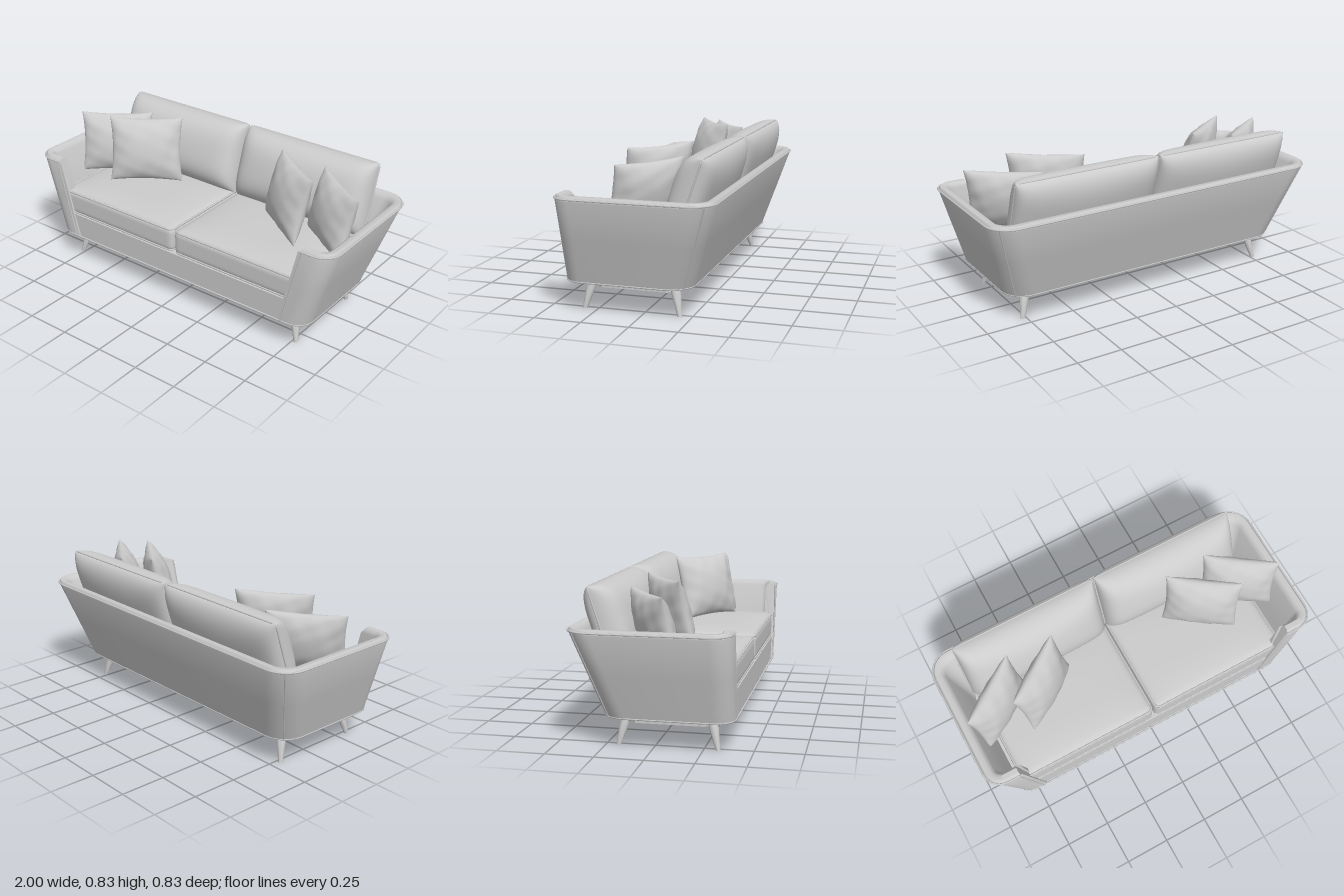
import * as THREE from 'three';
import { mergeVertices, toCreasedNormals } from 'three/addons/utils/BufferGeometryUtils.js';

const fabric = new THREE.MeshStandardMaterial({ color: 0xcccccc });
const V = (x, y, z) => new THREE.Vector3(x, y, z);

function addMesh(parent, name, geometry) {
  const mesh = new THREE.Mesh(geometry, fabric);
  mesh.name = name;
  parent.add(mesh);
  return mesh;
}

// Merge coincident vertices so the surface shades smoothly
function smooth(geometry) {
  geometry.deleteAttribute('uv');
  geometry.deleteAttribute('normal');
  const g = mergeVertices(geometry, 1e-5);
  g.computeVertexNormals();
  return g;
}

// Thin piping that follows straight and curved point runs
function piping(parent, name, points, radius, closed = false) {
  const path = new THREE.CurvePath();
  const count = closed ? points.length : points.length - 1;
  for (let i = 0; i < count; i++) {
    path.add(new THREE.LineCurve3(points[i], points[(i + 1) % points.length]));
  }
  const curve = new THREE.CatmullRomCurve3(path.getSpacedPoints(count > 2 ? 140 : 2), false, 'centripetal');
  return addMesh(parent, name, new THREE.TubeGeometry(curve, count > 2 ? 160 : 4, radius, 6, false));
}

// Plan outline of the flared shell at height y, moved inward by d
const BOTTOM = 0.155, TOP = 0.62;
function outline(y, d = 0) {
  const t = (y - BOTTOM) / (TOP - BOTTOM);
  const hw = 0.86 + 0.14 * t - d, zf = 0.41 - d, zb = -0.26 - 0.15 * t + d;
  const rf = 0.1 - d, rb = 0.13 - d;
  const end = 0.7 + 0.115 * t + (t > 0.97 ? 0.012 : 0);
  const half = [V(end, y, zf)];
  const arc = (cx, cz, r, from) => {
    for (let i = 0; i <= 10; i++) {
      const a = from - (i / 10) * Math.PI / 2;
      half.push(V(cx + r * Math.cos(a), y, cz + r * Math.sin(a)));
    }
  };
  arc(hw - rf, zf - rf, rf, Math.PI / 2);
  arc(hw - rb, zb + rb, rb, 0);
  return [...half, ...half.slice().reverse().map(p => V(-p.x, p.y, p.z))];
}

// Arms and back: one wall section carried round the outline
function shellGeometry() {
  const section = [[0, 0.155], [0, 0.39], [0, 0.592], [0.005, 0.609], [0.017, 0.62], [0.043, 0.62],
    [0.055, 0.609], [0.06, 0.592], [0.06, 0.39], [0.06, 0.155]];
  const rings = section.map(([d, y]) => outline(y, d));
  const n = section.length, m = rings[0].length;
  const positions = [], index = [];
  for (let i = 0; i < m; i++) for (let j = 0; j < n; j++) positions.push(...rings[j][i].toArray());
  for (let i = 0; i < m - 1; i++) {
    for (let j = 0; j < n; j++) {
      const k = (j + 1) % n;
      const a = i * n + j, b = (i + 1) * n + j, c = (i + 1) * n + k, e = i * n + k;
      index.push(a, b, e, b, c, e);
    }
  }
  const last = (m - 1) * n;
  for (let j = 1; j < n - 1; j++) index.push(0, j, j + 1, last, last + j + 1, last + j);
  const g = new THREE.BufferGeometry();
  g.setAttribute('position', new THREE.Float32BufferAttribute(positions, 3));
  g.setIndex(index);
  return toCreasedNormals(g, 0.7);
}

// Rounded block with a crowned top
function seatGeometry(w, h, d, r, crown) {
  const g = new THREE.BoxGeometry(w, h, d, 48, 12, 40);
  const p = g.attributes.position, v = V(0, 0, 0), core = V(0, 0, 0);
  const limit = V(w / 2 - r, h / 2 - r, d / 2 - r);
  for (let i = 0; i < p.count; i++) {
    v.fromBufferAttribute(p, i);
    const u = 2 * v.x / w, s = 2 * v.z / d, up = v.y / h + 0.5;
    core.copy(v).clamp(limit.clone().negate(), limit);
    v.sub(core).setLength(r).add(core);
    v.y += crown * up * (1 - u ** 4) * (1 - s ** 4);
    p.setXYZ(i, v.x, v.y, v.z);
  }
  return smooth(g);
}

// Sewn cushion: two bulging panels meeting at an edge seam
function cushionGeometry({ w, h, front, back, px, py, pinch, crease = 0 }) {
  const g = new THREE.BoxGeometry(2, 2, 2, 32, 32, 1);
  const p = g.attributes.position;
  for (let i = 0; i < p.count; i++) {
    const u = Math.sin(p.getX(i) * Math.PI / 2), v = Math.sin(p.getY(i) * Math.PI / 2);
    const side = p.getZ(i) > 0 ? front : -back;
    const full = Math.sqrt(Math.max(0, (1 - Math.abs(u) ** px) * (1 - Math.abs(v) ** py)));
    const folds = 1 + crease * Math.sin(9 * u + 4 * v) * Math.sin(8 * v - 3 * u) * Math.max(u * u, v * v);
    const z = side * full * folds * (0.78 + 0.22 * (1 - u * u) * (1 - v * v));
    p.setXYZ(i, u * w / 2 * (1 - pinch * (1 - v * v)), v * h / 2 * (1 - pinch * (1 - u * u)), z);
  }
  return smooth(g);
}

// Rounded rectangle of points, placed by a mapping function
function roundedLoop(w, d, r, place) {
  const points = [];
  for (let q = 0; q < 4; q++) {
    const sx = q === 0 || q === 3 ? 1 : -1, sy = q < 2 ? 1 : -1;
    for (let i = 0; i <= 5; i++) {
      const a = (q + i / 5) * Math.PI / 2;
      points.push(place(sx * (w / 2 - r) + r * Math.cos(a), sy * (d / 2 - r) + r * Math.sin(a)));
    }
  }
  return points;
}

// Wooden rails under the seat, with cut corners and a middle bar
function frameGeometry() {
  const cut = (cx, w, h, c) => [[w, h - c], [w - c, h], [c - w, h], [-w, h - c],
    [-w, c - h], [c - w, -h], [w - c, -h], [w, c - h]].map(([x, y]) => new THREE.Vector2(cx + x, y));
  const shape = new THREE.Shape(cut(0, 0.74, 0.222, 0.045));
  for (const s of [-1, 1]) shape.holes.push(new THREE.Path(cut(s * 0.362, 0.343, 0.187, 0.035)));
  const g = new THREE.ExtrudeGeometry(shape, { depth: 0.05, bevelEnabled: false });
  return g.rotateX(-Math.PI / 2).translate(0, 0.107, 0.0675);
}

// Tapered leg whose foot leans outward
function legGeometry(sx, sz) {
  const profile = [[0, 0], [0.0125, 0], [0.018, 0.05], [0.0245, 0.107], [0.022, 0.158], [0, 0.158]];
  const g = new THREE.LatheGeometry(profile.map(([r, y]) => new THREE.Vector2(r, y)), 20);
  const p = g.attributes.position;
  for (let i = 0; i < p.count; i++) {
    const out = 1 - p.getY(i) / 0.155;
    p.setX(i, p.getX(i) + sx * (0.733 + 0.035 * out));
    p.setZ(i, p.getZ(i) + 0.0675 + sz * (0.217 + 0.037 * out));
  }
  return toCreasedNormals(g, 0.7);
}

export function createModel() {
  const sofa = new THREE.Group();
  sofa.name = 'sofa';

  addMesh(sofa, 'armsAndBackShell', shellGeometry());
  piping(sofa, 'rimPiping', outline(0.606, -0.001), 0.005);
  piping(sofa, 'bottomPiping', outline(0.159, 0.001), 0.005, true);

  // Seat base, widening upward inside the shell
  const base = new THREE.BoxGeometry(2, 0.135, 1).translate(0, 0.2245, 0);
  const bp = base.attributes.position;
  for (let i = 0; i < bp.count; i++) {
    const high = bp.getY(i) > 0.22;
    bp.setX(i, bp.getX(i) * (high ? 0.84 : 0.8));
    bp.setZ(i, bp.getZ(i) > 0 ? 0.4 : high ? -0.26 : -0.22);
  }
  base.computeVertexNormals();
  addMesh(sofa, 'seatBase', base);
  addMesh(sofa, 'underFrame', frameGeometry());

  for (const s of [-1, 1]) {
    // Shell seams on the back corner and the arm front
    const index = s > 0 ? 17 : 28;
    piping(sofa, 'backCornerSeam', [outline(0.16)[index], outline(0.6)[index]], 0.004);
    piping(sofa, 'armFrontSeam', [V(s * 0.724, 0.16, 0.41), V(s * 0.832, 0.6, 0.41)], 0.004);

    for (const z of [-1, 1]) addMesh(sofa, z > 0 ? 'frontLeg' : 'backLeg', legGeometry(s, z));

    // Seat cushion with piping on its upper and lower edges
    const seat = new THREE.Group();
    seat.name = 'seatCushion';
    seat.position.set(s * 0.415, 0.362, 0.083);
    addMesh(seat, 'seatPad', seatGeometry(0.82, 0.142, 0.625, 0.03, 0.025));
    for (const y of [-0.062, 0.064]) {
      piping(seat, 'seatPiping', roundedLoop(0.81, 0.615, 0.03, (x, z) => V(x, y, z)), 0.006, true);
    }
    sofa.add(seat);

    // Reclined back cushion
    const back = new THREE.Group();
    back.name = 'backCushion';
    back.position.set(s * 0.423, 0.612, -0.255);
    back.rotation.x = -0.32;
    addMesh(back, 'backPad', cushionGeometry({ w: 0.835, h: 0.41, front: 0.145, back: 0.085, px: 12, py: 4, pinch: 0.005 }));
    piping(back, 'backPiping', roundedLoop(0.835, 0.408, 0.02, (x, y) => V(x, y, 0)), 0.005, true);
    sofa.add(back);

    // Two throw pillows angled across each corner
    for (const [name, x, y, z, w, h] of [['innerPillow', 0.495, 0.643, 0.025, 0.42, 0.375],
      ['outerPillow', 0.75, 0.61, -0.005, 0.42, 0.355]]) {
      const pillow = addMesh(sofa, name, cushionGeometry(
        { w, h, front: 0.08, back: 0.075, px: 2.6, py: 2.6, pinch: 0.07, crease: 0.12 }));
      pillow.position.set(s * x, y, z);
      pillow.rotation.set(-0.24, -s * 0.61, 0, 'YXZ');
    }
  }
  return sofa;
}
